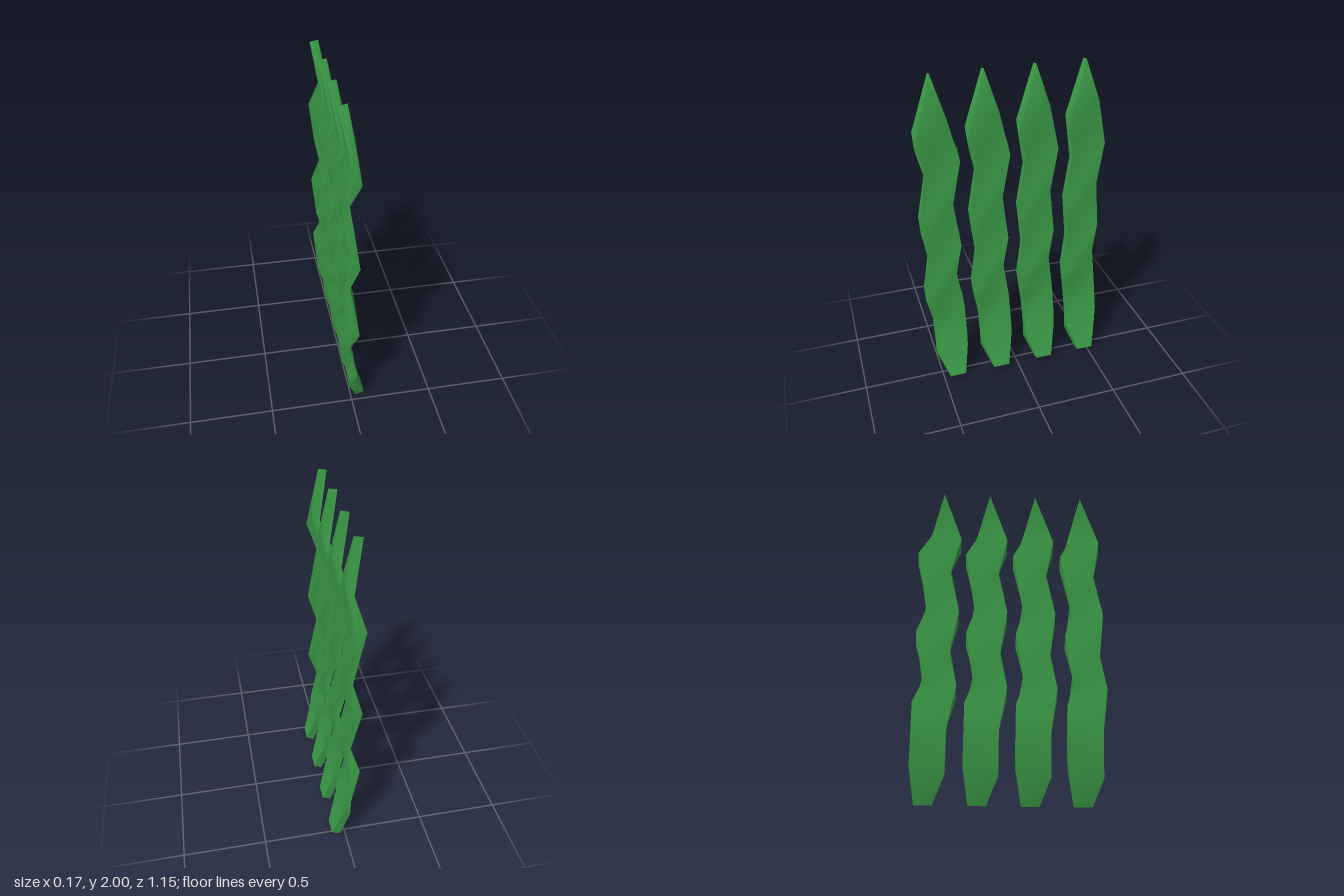
import * as THREE from 'three';

const THICK = 0.05;
const PITCH = 0.296;

// Cross-sections from tip to root:
// [back x, near z, far z, near-back y, near-front y, far-back y, far-front y]
const SECTIONS = [
  [-0.085, 0.46, 0.46, 1.99, 2.0, 1.99, 2.0],
  [-0.03, 0.577, 0.393, 1.69, 1.61, 1.71, 1.77],
  [-0.081, 0.52, 0.315, 1.4, 1.46, 1.54, 1.48],
  [-0.03, 0.577, 0.378, 1.17, 1.09, 1.17, 1.24],
  [-0.077, 0.533, 0.33, 0.865, 0.93, 1.0, 0.93],
  [-0.026, 0.577, 0.378, 0.68, 0.61, 0.7, 0.77],
  [-0.073, 0.529, 0.33, 0.4, 0.48, 0.56, 0.5],
  [-0.025, 0.529, 0.33, 0.24, 0.25, 0.31, 0.31],
  [-0.024, 0.529, 0.33, 0.155, 0.2, 0.21, 0.21],
  [0.034, 0.465, 0.363, 0, 0.02, 0, 0.02],
];

// Wavy blade: four strips, each smooth along its length with sharp edges between
function bladeGeometry() {
  const rings = SECTIONS.map(([x, zn, zf, nb, nf, fb, ff]) => [
    [x, nb, zn], [x + THICK, nf, zn], [x + THICK, ff, zf], [x, fb, zf],
  ]);
  const positions = [];
  const index = [];
  for (let side = 0; side < 4; side++) {
    const start = positions.length / 3;
    rings.forEach((ring, i) => {
      positions.push(...ring[side], ...ring[(side + 1) % 4]);
      if (i === 0) return;
      const a = start + (i - 1) * 2;
      index.push(a, a + 2, a + 1, a + 1, a + 2, a + 3);
    });
  }
  // Root cap
  const cap = positions.length / 3;
  rings[rings.length - 1].forEach((p) => positions.push(...p));
  index.push(cap, cap + 2, cap + 1, cap, cap + 3, cap + 2);

  const geometry = new THREE.BufferGeometry();
  geometry.setAttribute('position', new THREE.Float32BufferAttribute(positions, 3));
  geometry.setIndex(index);
  geometry.computeVertexNormals();
  return geometry;
}

export function createModel() {
  const group = new THREE.Group();
  group.name = 'wavyBlades';
  const geometry = bladeGeometry();
  const material = new THREE.MeshStandardMaterial({ color: 0x3c9d48 });
  // Row of identical blades
  for (let i = 0; i < 4; i++) {
    const blade = new THREE.Mesh(geometry, material);
    blade.name = `blade${i + 1}`;
    blade.position.z = -i * PITCH - 0.002;
    group.add(blade);
  }
  return group;
}
